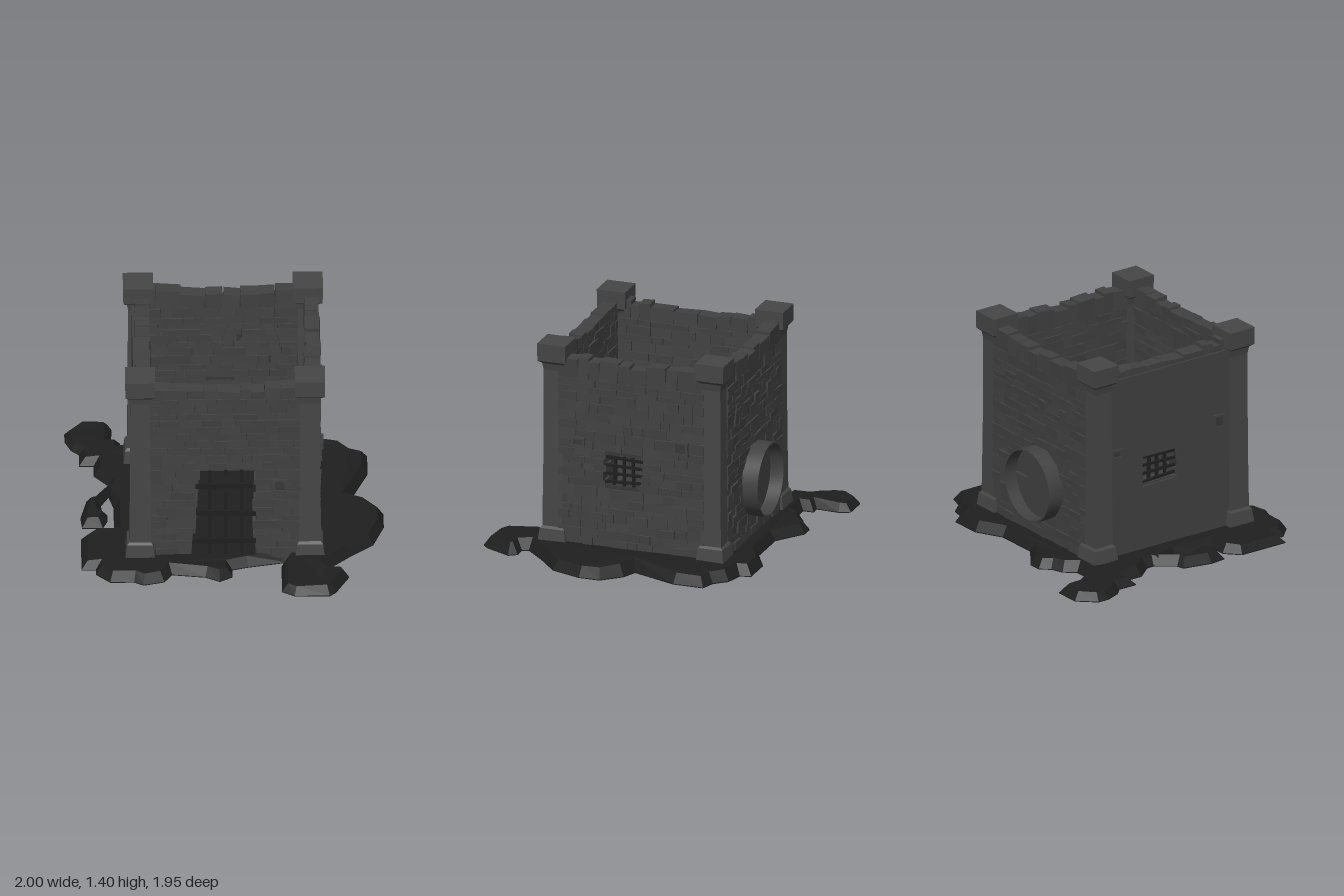
import * as THREE from 'three';
import { mergeGeometries, toCreasedNormals } from 'three/addons/utils/BufferGeometryUtils.js';

const paint = (name, color) => {
  const m = new THREE.MeshStandardMaterial({ color });
  m.name = name;
  return m;
};

export function createModel() {
  const model = new THREE.Group();
  model.name = 'ruinedTower';
  const stone = paint('wall stone', 0x414142);
  const pillarStone = paint('pillar stone', 0x464647);
  const mortar = paint('mortar', 0x373738);
  const earth = paint('dark earth', 0x1f1f1f);
  const iron = paint('iron', 0x1f1f20);

  let seed = 11;
  const rnd = () => (seed = (seed * 16807) % 2147483647) / 2147483647;
  const jit = (a) => (rnd() * 2 - 1) * a;

  const add = (parent, name, geo, mat, x = 0, y = 0, z = 0) => {
    const mesh = new THREE.Mesh(geo, mat);
    mesh.name = name;
    mesh.position.set(x, y, z);
    parent.add(mesh);
    return mesh;
  };
  const box = (parent, name, mat, w, h, d, x, y, z, tilt = 0) => {
    const m = add(parent, name, new THREE.BoxGeometry(w, h, d), mat, x, y, z);
    m.rotation.z = tilt;
    return m;
  };

  // Wall outline with the hole traced from opening(v) -> [u0, u1]
  const wallShape = (opening) => {
    const s = new THREE.Shape();
    s.moveTo(-0.5, 0.02).lineTo(0.5, 0.02).lineTo(0.5, 1.27).lineTo(-0.5, 1.27).closePath();
    const left = [], right = [];
    for (let v = 0.06; v < 1; v += 0.01) {
      const o = opening(v);
      if (o) {
        left.push(new THREE.Vector2(o[0] - 0.008, v));
        right.push(new THREE.Vector2(o[1] + 0.008, v));
      }
    }
    s.holes.push(new THREE.Path([...left, ...right.reverse()]));
    return s;
  };

  // Wall of irregular courses; local x runs along it, local z points outwards
  const wall = (name, x, z, turn, opening, plain = false) => {
    const g = new THREE.Group();
    g.name = name;
    g.position.set(x, 0, z);
    g.rotation.y = turn;
    model.add(g);
    const slab = (label, mat, depth, z0) =>
      add(g, label, new THREE.ExtrudeGeometry(wallShape(opening), { depth, bevelEnabled: false }), mat, 0, 0, z0);
    slab(name + 'Core', mortar, 0.074, -0.038);
    if (plain) slab(name + 'Facing', stone, 0.014, 0.042);

    const bricks = [];
    let v = 0.02;
    while (v < 1.25) {
      let h = 0.038 + 0.034 * rnd();
      const last = v + h > 1.25;
      const o = opening(v + h / 2);
      const spans = o ? [[-0.49, o[0] + jit(0.015)], [o[1] + jit(0.015), 0.49]] : [[-0.49, 0.49]];
      for (const [u0, u1] of spans) {
        let u = u0;
        while (u < u1 - 0.001) {
          let w = 0.055 + 0.11 * rnd();
          if (u1 - u - w < 0.045) w = u1 - u;
          const mid = u + w / 2;
          // Top course sags towards the middle
          const hh = last ? 1.31 + 0.1 * mid * mid + jit(0.014) - v : h;
          const b = new THREE.BoxGeometry(w - 0.002, hh - 0.002, 0.093 + jit(0.007));
          b.rotateX(jit(0.06)).rotateY(jit(0.05)).rotateZ(jit(last ? 0.08 : 0.03));
          bricks.push(b.translate(mid, v + hh / 2, plain ? -0.006 : jit(0.004)));
          u += w;
        }
      }
      if (last) break;
      v += h;
    }
    add(g, name + 'Stones', mergeGeometries(bricks), stone);
    return g;
  };

  const rect = (u0, u1, v0, v1, lean = 0) => (v) =>
    v > v0 && v < v1 ? [u0 + lean * (v - v0), u1] : null;
  const circle = (cu, cv, r) => (v) => {
    const d = r * r - (v - cv) ** 2;
    return d > 0 ? [cu - Math.sqrt(d), cu + Math.sqrt(d)] : null;
  };

  const front = wall('frontWall', -0.01, 0.537, 0, rect(-0.2, 0.19, 0.05, 0.71, 0.06));
  const left = wall('leftWall', 0.552, 0, Math.PI / 2, rect(-0.18, 0.07, 0.5, 0.71));
  wall('backWall', -0.01, -0.56, Math.PI, circle(0.01, 0.44, 0.225));
  const right = wall('rightWall', -0.525, 0, -Math.PI / 2, rect(-0.21, 0.05, 0.5, 0.71), true);

  // Small framed niches in the walls
  const niche = (g, u, v, w, h) => {
    box(g, 'nichePlate', mortar, w, h, 0.008, u, v, 0.053);
    for (const s of [-1, 1]) {
      box(g, 'nicheJamb', stone, 0.014, h, 0.03, u + s * w / 2, v, 0.052, 0.04);
      box(g, 'nicheLintel', stone, w + 0.02, 0.014, 0.03, u, v + s * h / 2, 0.052, -0.04);
    }
  };
  niche(front, 0.35, 0.6, 0.07, 0.08);
  niche(left, -0.35, 0.77, 0.07, 0.05);
  niche(left, 0.34, 0.81, 0.08, 0.08);
  niche(right, 0.38, 0.8, 0.07, 0.08);
  niche(right, -0.42, 0.77, 0.07, 0.05);

  // Gate bars
  [[-0.09, 0.06, 0.71], [0.01, 0.06, 0.54], [0.01, 0.67, 0.71], [0.11, 0.06, 0.71]].forEach(([u, foot, top]) =>
    box(front, 'gateBar', iron, 0.022, top - foot, 0.022, u, (top + foot) / 2, 0.03));
  [[0.18, 0.4, 0.01], [0.39, 0.4, -0.02], [0.595, 0.36, 0.01]].forEach(([v, w, t]) =>
    box(front, 'gateCrossbar', iron, w, 0.034, 0.022, 0, v, 0.042, t));

  // Window bars
  for (const [g, c] of [[left, -0.055], [right, -0.08]]) {
    for (const i of [-1, 0, 1])
      box(g, 'windowBar', iron, 0.018, 0.22, 0.016, c + i * 0.062, 0.605, 0.02, i * 0.04);
    for (const i of [-1.5, -0.5, 0.5, 1.5])
      box(g, 'windowCrossbar', iron, 0.26, 0.016, 0.016, c, 0.605 + i * 0.052, 0.032, -i * 0.03);
  }

  // Corner pillars with tapered base and capital
  const profile = [[0, 0], [0.095, 0], [0.092, 0.08], [0.082, 0.163], [0.069, 0.178], [0.064, 0.6],
    [0.062, 1.22], [0.07, 1.265], [0.093, 1.285], [0.095, 1.4], [0, 1.4]]
    .map(([r, y]) => new THREE.Vector2(r * Math.SQRT2, y));
  const pillarGeo = new THREE.LatheGeometry(profile, 4).rotateY(Math.PI / 4).toNonIndexed();
  pillarGeo.computeVertexNormals();
  for (const x of [-0.54, 0.53])
    for (const z of [-0.537, 0.527]) add(model, 'cornerPillar', pillarGeo, pillarStone, x, 0, z);

  // Round drain drum through the back wall, recessed outside
  const drum = [[0, 0.53], [0.24, 0.53], [0.24, 0.71], [0.23, 0.71], [0.23, 0.62], [0, 0.62]]
    .map(([r, y]) => new THREE.Vector2(r, y));
  const drumGeo = new THREE.LatheGeometry(drum, 28).rotateX(-Math.PI / 2);
  add(model, 'backDrum', toCreasedNormals(drumGeo, 0.6), stone, -0.02, 0.44, 0);
  for (const r of [0.1, 0.17])
    add(model, 'drumRing', new THREE.TorusGeometry(r, 0.01, 6, 28), stone, -0.02, 0.44, -0.525);
  box(model, 'drumSpoke', stone, 0.12, 0.014, 0.02, 0.14, 0.44, -0.63);

  // Ragged ground shell, hollow below: outline as x, z
  const ground = new THREE.Shape([
    [-1, -0.87], [-0.9, -0.98], [-0.73, -0.98], [-0.7, -0.91], [-0.71, -0.76], [-0.65, -0.76], [-0.65, -0.69],
    [-0.53, -0.69], [-0.47, -0.76], [-0.39, -0.79], [-0.34, -0.85], [-0.25, -0.85], [-0.14, -0.77], [-0.07, -0.72],
    [0.22, -0.72], [0.39, -0.81], [0.6, -0.81], [0.62, -0.74], [0.74, -0.71], [0.81, -0.63], [0.905, -0.6],
    [0.905, -0.4], [0.79, -0.1], [0.89, -0.06], [1, 0.06], [1, 0.2], [0.93, 0.4], [0.78, 0.53], [0.64, 0.67],
    [0.66, 0.71], [0.74, 0.71], [0.775, 0.76], [0.69, 0.93], [0.65, 0.97], [0.43, 0.97], [0.35, 0.92], [0.35, 0.64],
    [0.38, 0.59], [0.14, 0.64], [0.04, 0.67], [0.04, 0.75], [-0.04, 0.8], [-0.13, 0.75], [-0.34, 0.72], [-0.39, 0.8],
    [-0.52, 0.835], [-0.58, 0.8], [-0.73, 0.8], [-0.82, 0.71], [-0.82, 0.66], [-0.91, 0.66], [-0.91, 0.32],
    [-0.82, 0.235], [-0.7, 0.235], [-0.7, -0.04], [-0.73, -0.16], [-0.78, -0.06], [-0.77, 0.03], [-0.74, 0.05],
    [-0.74, 0.11], [-0.77, 0.19], [-0.9, 0.19], [-0.91, 0.08],
    [-0.87, -0.11], [-0.82, -0.12], [-0.73, -0.24], [-0.73, -0.29], [-0.82, -0.4], [-0.82, -0.51], [-0.91, -0.51],
    [-0.91, -0.64], [-0.96, -0.69], [-1, -0.79]].map(([x, z]) => new THREE.Vector2(x, -z)));
  const groundGeo = new THREE.ExtrudeGeometry(ground, {
    depth: 0.006, bevelThickness: 0.06, bevelSize: 0.04, bevelOffset: -0.04, bevelSegments: 1 });
  const p = groundGeo.attributes.position;
  for (let i = 0; i < p.count; i++) {
    const x = p.getX(i), y = p.getY(i), h = p.getZ(i);
    // Underside follows the top; far rocks sink, the +x side swells
    const out = Math.max(0, Math.max(Math.abs(x), Math.abs(y)) - 0.75);
    const swell = 0.008 * Math.sin(7 * x + 2) * Math.cos(6 * y) + 0.025 * Math.max(0, x - 0.2) - 0.08 * out;
    if (h < 0) p.setZ(i, -h * 0.55);
    else if (h > 0.03) p.setZ(i, h + swell);
  }
  groundGeo.rotateX(-Math.PI / 2);
  groundGeo.computeVertexNormals();
  add(model, 'groundShell', groundGeo, earth, 0, 0.01, 0);

  // Low rock on the floor
  const rock = new THREE.IcosahedronGeometry(1, 1).scale(0.1, 0.05, 0.06).rotateY(0.4);
  add(model, 'floorRock', rock, earth, 0.4, 0.08, 0.24);

  return model;
}
